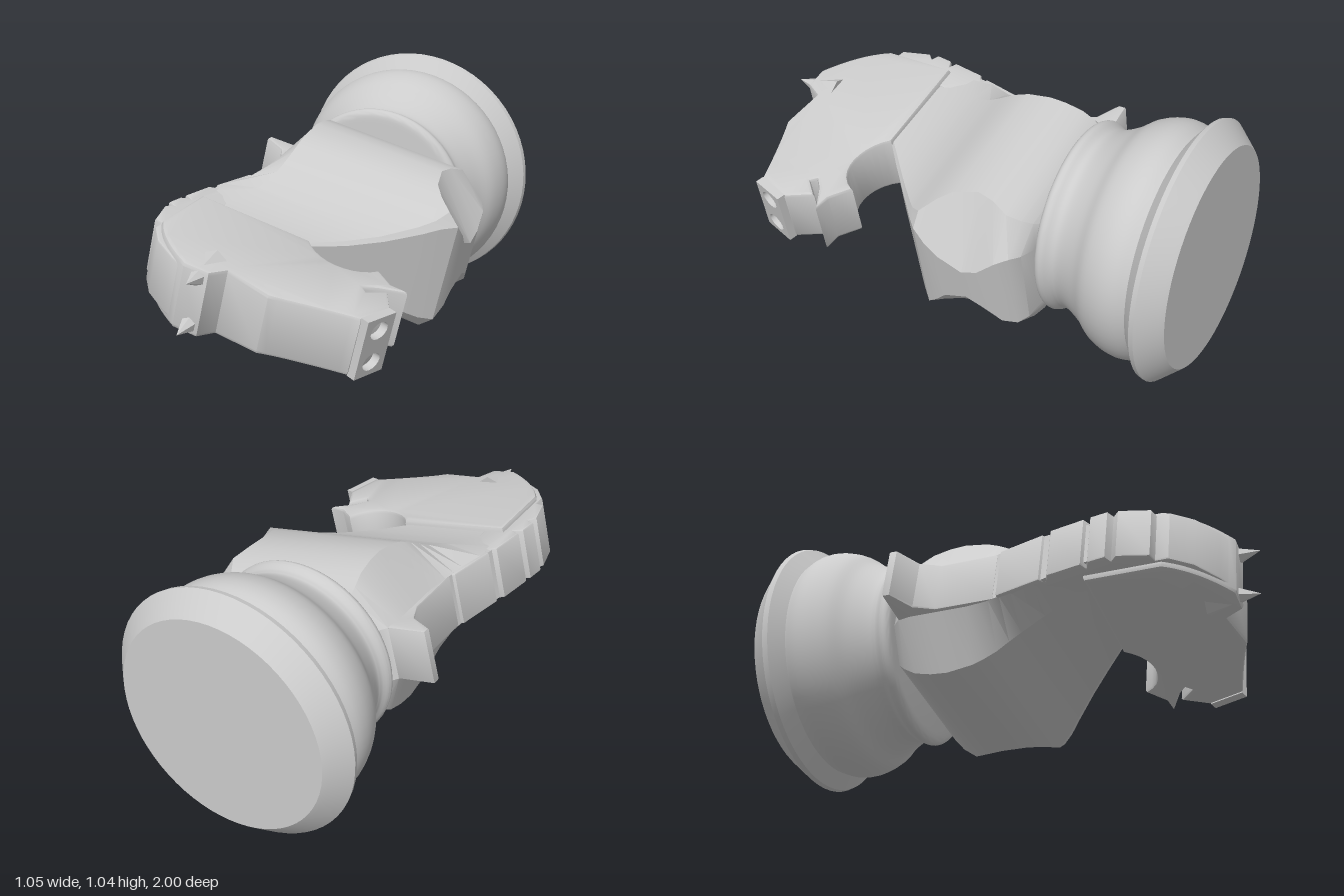
import * as THREE from 'three';
import { toCreasedNormals } from 'three/addons/utils/BufferGeometryUtils.js';

const material = new THREE.MeshStandardMaterial({ color: 0xcccccc });

function part(name, geometry, crease = 0.6) {
  const mesh = new THREE.Mesh(toCreasedNormals(geometry, crease), material);
  mesh.name = name;
  return mesh;
}

// Extrudes a side outline (x, z) to a half thickness either side of y = 0
function slab(shape, half, bevel) {
  const geo = new THREE.ExtrudeGeometry(shape, {
    depth: 2 * (half - bevel), bevelEnabled: true, bevelThickness: bevel,
    bevelSize: bevel, bevelOffset: -bevel, bevelSegments: 2, curveSegments: 10,
  });
  return geo.translate(0, 0, bevel - half).rotateX(Math.PI / 2);
}

// Round turned foot, its axis along z
function makeBase() {
  const lower = [[0, -1], [0.44, -1], [0.455, -0.985], [0.52, -0.915], [0.515, -0.895], [0.455, -0.85]];
  const bulge = new THREE.SplineCurve([
    [0.455, -0.85], [0.474, -0.8], [0.474, -0.74], [0.45, -0.67], [0.405, -0.61],
    [0.37, -0.54], [0.365, -0.5], [0.385, -0.46], [0.37, -0.435], [0.33, -0.43],
  ].map(p => new THREE.Vector2(...p))).getPoints(36);
  const profile = [...lower.map(p => new THREE.Vector2(...p)), ...bulge.slice(1), new THREE.Vector2(0, -0.42)];
  return part('base', new THREE.LatheGeometry(profile, 64).rotateX(Math.PI / 2));
}

// Chest and neck: chamfered sections lofted along z
function makeBody() {
  // z, back, side back, side front, front, half width, front half width
  const stations = [
    [-0.44, -0.28, -0.21, 0.27, 0.35, 0.21, 0.15],
    [-0.42, -0.33, -0.24, 0.31, 0.42, 0.24, 0.17],
    [-0.39, -0.36, -0.25, 0.34, 0.46, 0.27, 0.18],
    [-0.34, -0.37, -0.25, 0.36, 0.49, 0.30, 0.16],
    [-0.27, -0.37, -0.25, 0.33, 0.505, 0.317, 0.10],
    [-0.2, -0.37, -0.25, 0.315, 0.507, 0.322, 0.07],
    [-0.1, -0.37, -0.25, 0.34, 0.505, 0.305, 0.11],
    [-0.05, -0.375, -0.25, 0.38, 0.505, 0.285, 0.16],
    [0, -0.38, -0.25, 0.44, 0.49, 0.258, 0.21],
    [0.05, -0.39, -0.255, 0.41, 0.44, 0.225, 0.2],
    [0.1, -0.4, -0.26, 0.36, 0.385, 0.195, 0.175],
    [0.2, -0.43, -0.28, 0.255, 0.275, 0.15, 0.135],
    [0.3, -0.45, -0.3, 0.145, 0.165, 0.122, 0.11],
    [0.4, -0.47, -0.32, 0.035, 0.05, 0.108, 0.098],
    [0.48, -0.47, -0.32, -0.04, -0.03, 0.105, 0.095],
  ];
  const positions = [], index = [];
  const n = 8;
  for (const [z, back, sideBack, sideFront, front, half, frontHalf] of stations) {
    const backHalf = Math.min(0.11, half * 0.85);
    const side = [[front, frontHalf], [sideFront, half], [sideBack, half], [back, backHalf]];
    const mirrored = side.map(([x, y]) => [x, -y]).reverse();
    for (const [x, y] of [...side, ...mirrored]) positions.push(x, y, z);
  }
  for (let i = 0; i < stations.length - 1; i++) {
    for (let j = 0; j < n; j++) {
      const a = i * n + j, b = i * n + (j + 1) % n;
      index.push(a, b, b + n, a, b + n, a + n);
    }
  }
  const top = (stations.length - 1) * n;
  for (let j = 1; j < n - 1; j++) index.push(0, j + 1, j, top, top + j, top + j + 1);
  const geo = new THREE.BufferGeometry();
  geo.setAttribute('position', new THREE.Float32BufferAttribute(positions, 3));
  geo.setIndex(index);
  return part('chestAndNeck', geo, 0.45);
}

// Head with open mouth, narrowing towards the muzzle
function makeHead() {
  const s = new THREE.Shape();
  s.moveTo(-0.42, 0.4);
  s.lineTo(0.05, 0.4);
  s.bezierCurveTo(0.12, 0.5, 0.28, 0.52, 0.34, 0.4);
  s.lineTo(0.42, 0.465);
  s.lineTo(0.49, 0.475);
  s.lineTo(0.39, 0.53);
  s.lineTo(0.35, 0.565);
  s.lineTo(0.37, 0.585);
  s.lineTo(0.43, 0.525);
  s.lineTo(0.485, 0.63);
  s.lineTo(0.435, 0.78);
  s.quadraticCurveTo(0.28, 0.82, 0.12, 0.88);
  s.lineTo(-0.06, 0.85);
  s.lineTo(-0.1, 0.92);
  s.lineTo(-0.2, 0.92);
  s.quadraticCurveTo(-0.36, 0.82, -0.42, 0.7);
  s.closePath();
  const geo = slab(s, 0.135, 0.015);
  const p = geo.attributes.position;
  for (let i = 0; i < p.count; i++) {
    const t = THREE.MathUtils.smoothstep(p.getX(i), -0.1, 0.2);
    p.setY(i, p.getY(i) * (1 - 0.11 * t));
  }
  return part('head', geo);
}

// Muzzle end plate pierced by two nostrils
function makeMuzzle() {
  const s = new THREE.Shape();
  s.moveTo(-0.12, -0.075);
  s.lineTo(0.12, -0.075);
  s.lineTo(0.12, 0.075);
  s.lineTo(-0.12, 0.075);
  s.closePath();
  for (const side of [-1, 1]) {
    s.holes.push(new THREE.Path().absellipse(side * 0.065, 0, 0.035, 0.045, 0, Math.PI * 2));
  }
  const geo = new THREE.ExtrudeGeometry(s, { depth: 0.035, bevelEnabled: false, curveSegments: 10 });
  const mesh = part('muzzle', geo.rotateX(Math.PI / 2).rotateZ(-Math.PI / 2).rotateX(Math.PI / 2));
  // Stand the plate across the slanted nose
  const across = new THREE.Vector3(0, 1, 0);
  const up = new THREE.Vector3(-0.05, 0, 0.15).normalize();
  const out = new THREE.Vector3().crossVectors(across, up);
  mesh.geometry = toCreasedNormals(
    new THREE.ExtrudeGeometry(s, { depth: 0.035, bevelEnabled: false, curveSegments: 10 })
      .applyMatrix4(new THREE.Matrix4().makeBasis(across, up, out)), 0.6);
  mesh.position.set(0.457, 0, 0.705);
  return mesh;
}

// Notched mane running down the back of the neck
function makeMane() {
  const outer = [
    [-0.36, -0.39], [-0.515, -0.385], [-0.515, -0.355], [-0.42, -0.3], [-0.385, -0.22], [-0.385, 0.02],
    [-0.36, 0.03], [-0.4, 0.04], [-0.445, 0.23], [-0.42, 0.25], [-0.46, 0.27], [-0.485, 0.41],
    [-0.455, 0.425], [-0.49, 0.44], [-0.5, 0.51], [-0.47, 0.525], [-0.495, 0.55], [-0.465, 0.67],
    [-0.43, 0.68], [-0.43, 0.73], [-0.37, 0.81], [-0.27, 0.88], [-0.19, 0.92],
  ];
  const inner = [[-0.18, 0.8], [-0.33, 0.6], [-0.33, 0.3], [-0.28, 0.1], [-0.28, -0.36]];
  const shape = new THREE.Shape([...outer, ...inner].map(p => new THREE.Vector2(...p)));
  return part('mane', slab(shape, 0.112, 0.008));
}

// Pointed ears
function makeEars() {
  const ears = new THREE.Group();
  ears.name = 'ears';
  for (const side of [-1, 1]) {
    const geo = new THREE.ConeGeometry(0.075, 0.2, 6).rotateX(Math.PI / 2);
    const ear = part(side > 0 ? 'upperEar' : 'lowerEar', geo);
    ear.position.set(-0.14, side * 0.095, 0.9);
    ear.rotation.x = side * -0.1;
    ears.add(ear);
  }
  return ears;
}

export function createModel() {
  const model = new THREE.Group();
  model.name = 'chessKnight';
  const piece = new THREE.Group();
  piece.name = 'lyingPiece';
  piece.add(makeBase(), makeBody(), makeHead(), makeMuzzle(), makeMane(), makeEars());
  // The piece lies down, rolled slightly about its long axis
  piece.rotation.z = -0.23;
  piece.position.y = 0.52;
  model.add(piece);
  return model;
}
